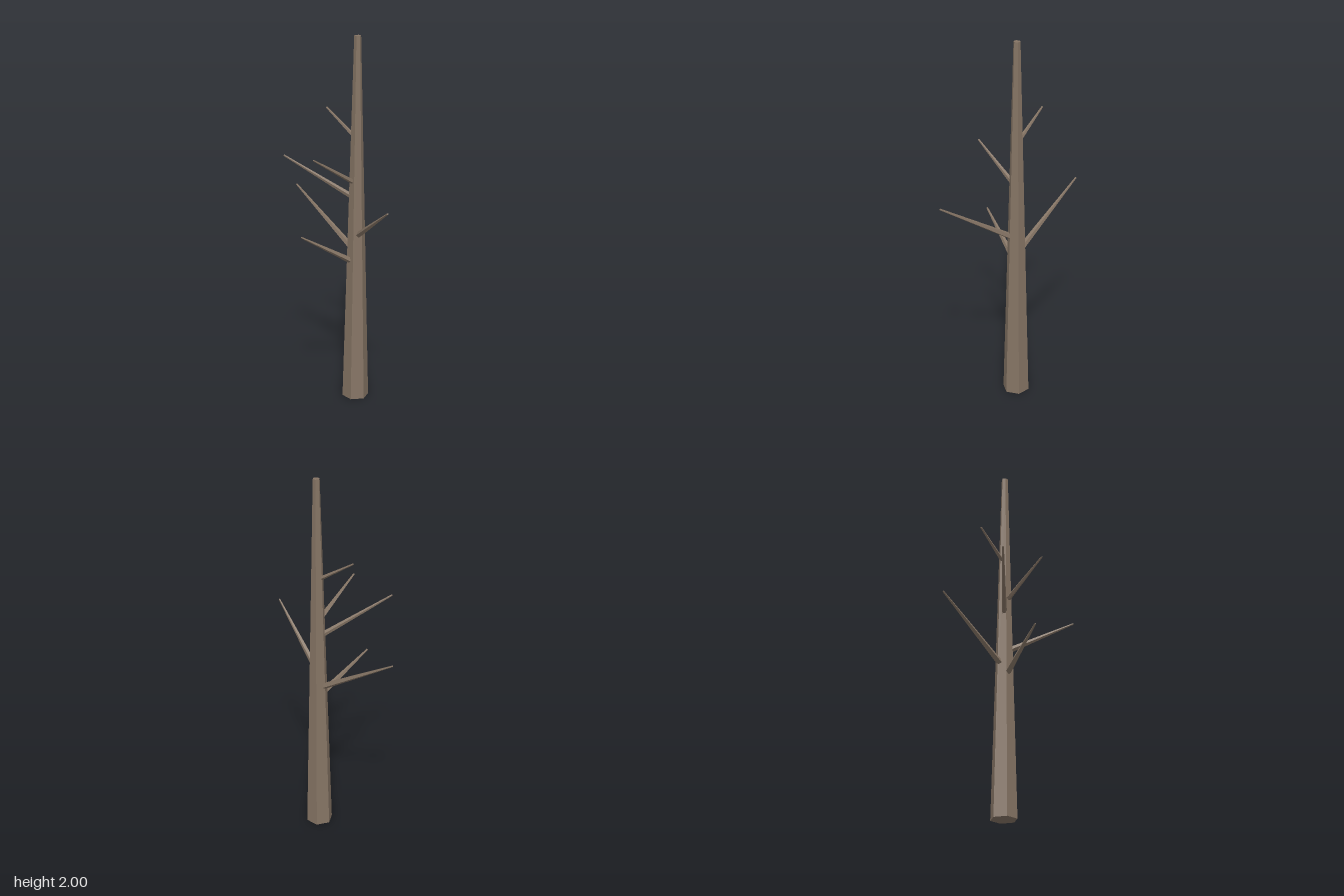
import * as THREE from 'three';

const AXIS_X = 0.142, AXIS_Z = -0.012, HEIGHT = 2, R_BASE = 0.072, R_TOP = 0.018;

export function createModel() {
  const bark = new THREE.MeshStandardMaterial({ color: 0x857464, flatShading: true });
  bark.name = 'greyBrownBark';

  const model = new THREE.Group();
  model.name = 'bareTree';

  // Tapered six-sided trunk, corners pointing along x
  const trunk = new THREE.Mesh(
    new THREE.CylinderGeometry(R_TOP, R_BASE, HEIGHT, 6).rotateY(Math.PI / 6), bark);
  trunk.name = 'trunk';
  trunk.position.set(AXIS_X, HEIGHT / 2, AXIS_Z);
  model.add(trunk);

  // Tapered branch from the trunk axis at height y to a tip
  const addBranch = (name, y, tip) => {
    const start = new THREE.Vector3(AXIS_X, y, AXIS_Z);
    const end = new THREE.Vector3(...tip);
    const dir = end.clone().sub(start);
    const baseRadius = 0.37 * THREE.MathUtils.lerp(R_BASE, R_TOP, y / HEIGHT);
    const branch = new THREE.Mesh(
      new THREE.CylinderGeometry(0.0045, baseRadius, dir.length(), 5), bark);
    branch.name = name;
    branch.position.copy(start).add(end).multiplyScalar(0.5);
    branch.quaternion.setFromUnitVectors(new THREE.Vector3(0, 1, 0), dir.normalize());
    model.add(branch);
  };

  addBranch('lowestBranch', 0.775, [-0.165, 0.965, 0.079]);
  addBranch('backBranch', 0.832, [-0.127, 1.112, -0.402]);
  addBranch('frontBranch', 0.924, [0.228, 1.178, 0.401]);
  addBranch('rightBranch', 1.132, [-0.23, 1.361, -0.11]);
  addBranch('upperFrontBranch', 1.217, [-0.107, 1.394, 0.134]);
  addBranch('topBranch', 1.458, [0.007, 1.594, -0.177]);

  return model;
}
